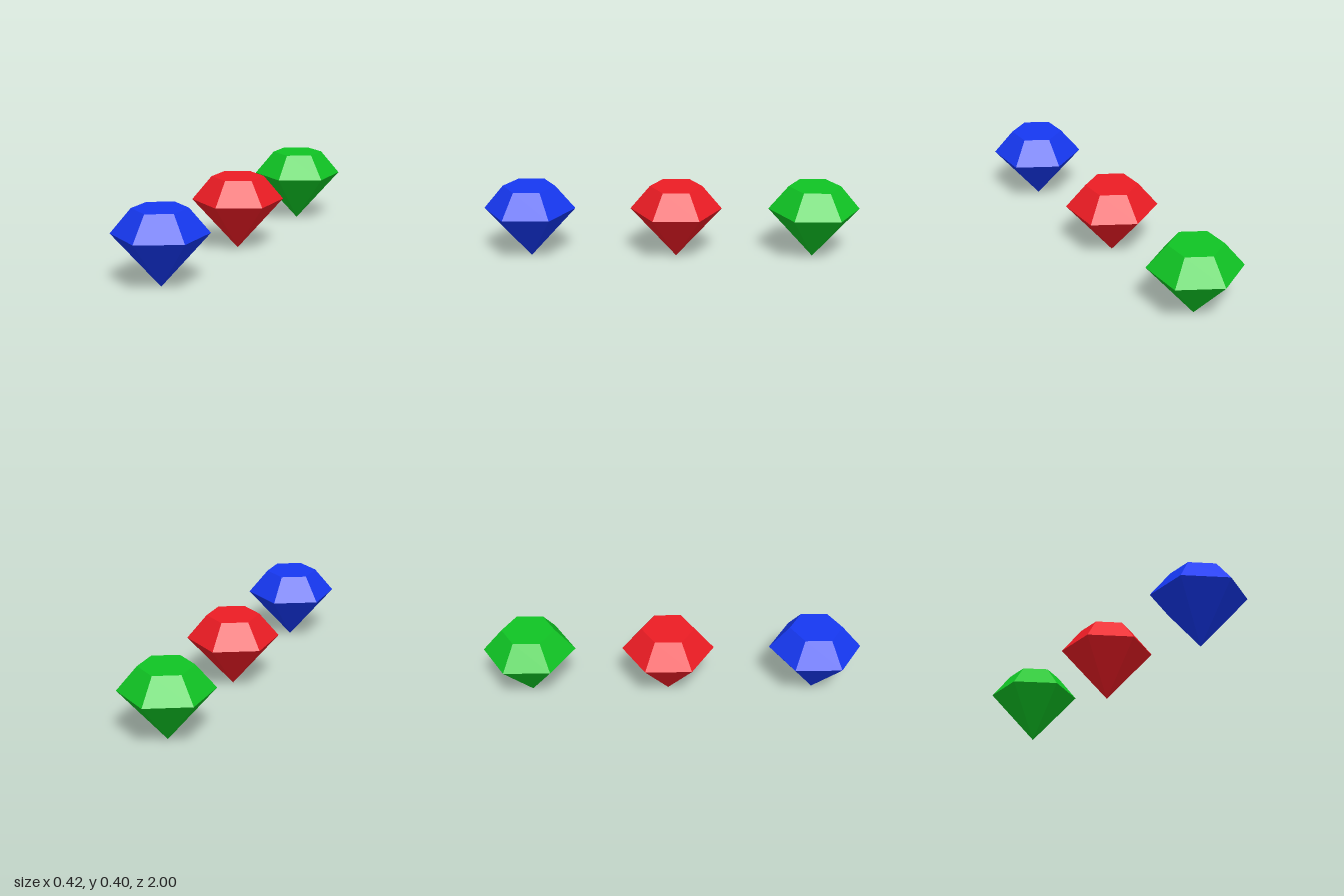
import * as THREE from 'three';

export function createModel() {
  const model = new THREE.Group();

  // Six-sided gem profile: tip, girdle, table edge, table centre
  const profile = [[0, 0], [0.243, 0.27], [0.139, 0.395], [0, 0.395]]
    .map(([r, y]) => new THREE.Vector2(r, y));
  const gemGeometry = new THREE.LatheGeometry(profile, 6);

  // Three gems in a row from front to back
  const gems = [
    ['blueGem', 0x1638f2, 0.757],
    ['redGem', 0xed1c24, -0.023],
    ['greenGem', 0x10c424, -0.757],
  ];
  for (const [name, color, z] of gems) {
    const material = new THREE.MeshStandardMaterial({ color, flatShading: true });
    const gem = new THREE.Mesh(gemGeometry, material);
    gem.name = name;
    gem.position.z = z;
    model.add(gem);
  }

  return model;
}
